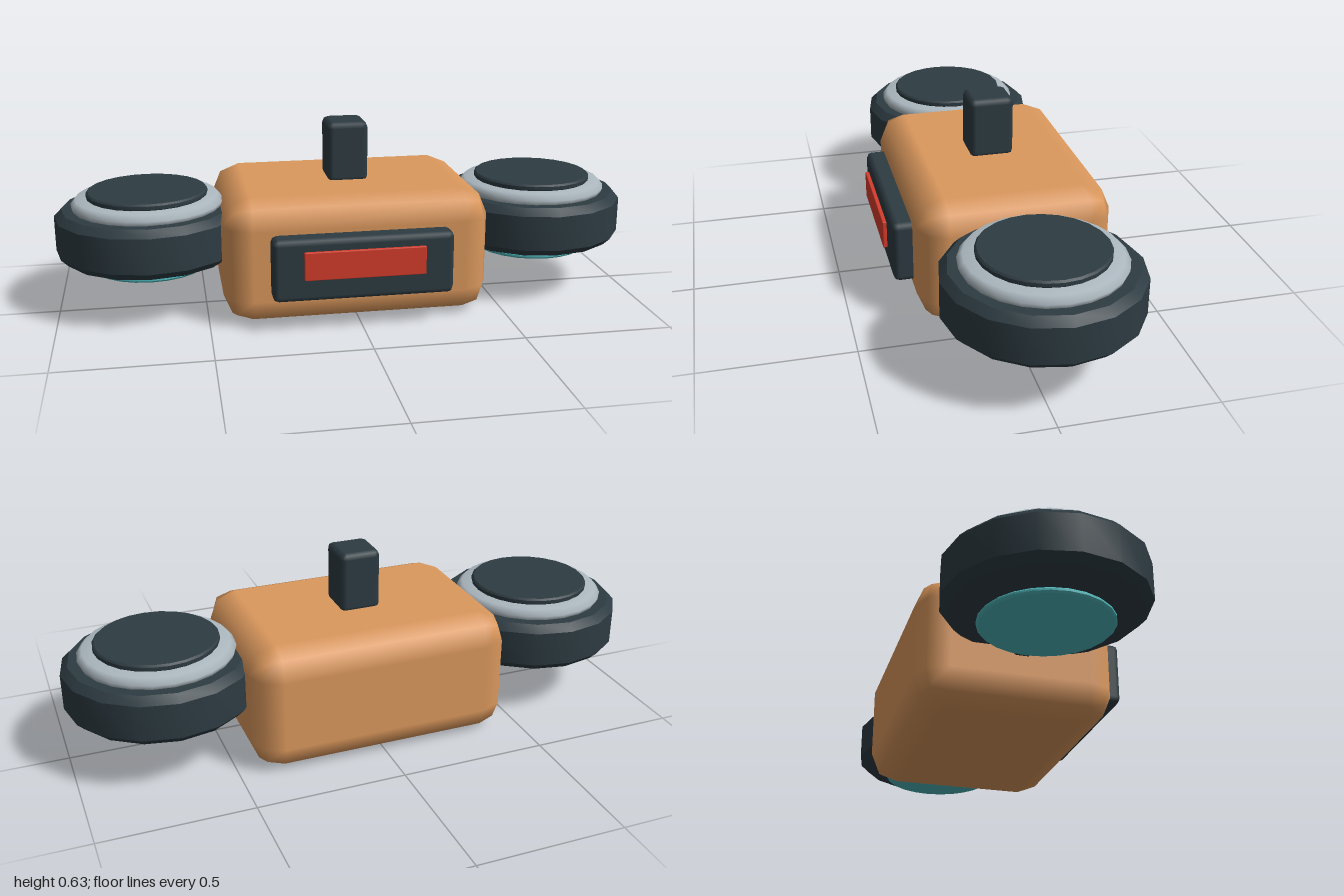
import * as THREE from 'three';
import { toCreasedNormals } from 'three/addons/utils/BufferGeometryUtils.js';
import { RoundedBoxGeometry } from 'three/addons/geometries/RoundedBoxGeometry.js';

const material = (name, color) => {
  const m = new THREE.MeshStandardMaterial({ color });
  m.name = name;
  return m;
};

export function createModel() {
  const model = new THREE.Group();
  model.name = 'model';
  const orange = material('warm orange', 0xdb985d);
  const dark = material('dark slate', 0x2d3b42);
  const grey = material('light grey', 0xacb8bf);
  const red = material('red', 0xd63c2c);
  const teal = material('teal', 0x4fb8bc);

  const add = (parent, name, geometry, mat, x = 0, y = 0, z = 0) => {
    const mesh = new THREE.Mesh(geometry, mat);
    mesh.name = name;
    mesh.position.set(x, y, z);
    parent.add(mesh);
    return mesh;
  };

  // Rounded box given by its lower and upper limits
  const block = (name, mat, lo, hi, radius) => {
    const [w, h, d] = hi.map((v, i) => v - lo[i]);
    const [x, y, z] = hi.map((v, i) => (v + lo[i]) / 2);
    return add(model, name, new RoundedBoxGeometry(w, h, d, 1, radius), mat, x, y, z);
  };

  // Bevelled disc turned around the vertical axis
  const disc = (radius, y0, y1, bevel, sides) => {
    const points = [
      [0, y0], [radius - bevel, y0], [radius, y0 + bevel],
      [radius, y1 - bevel], [radius - bevel, y1], [0, y1],
    ].map(([r, y]) => new THREE.Vector2(r, y));
    return toCreasedNormals(new THREE.LatheGeometry(points, sides), 0.5);
  };

  // Body, top post and front panel
  block('body', orange, [-0.45, 0, -0.363], [0.45, 0.43, 0.283], 0.095);
  block('topPost', dark, [-0.07, 0.42, -0.115], [0.07, 0.63, 0.035], 0.02);
  block('frontPanel', dark, [-0.3, 0.11, 0.26], [0.3, 0.322, 0.347], 0.02);
  block('panelLight', red, [-0.2, 0.19, 0.351], [0.2, 0.285, 0.365], 0.003);

  // One pod on each side
  for (const side of [1, -1]) {
    const pod = new THREE.Group();
    pod.name = side > 0 ? 'leftPod' : 'rightPod';
    pod.position.set(side * 0.686, 0, -0.04);
    model.add(pod);
    add(pod, 'housing', disc(0.3145, 0.185, 0.355, 0.025, 16), dark);
    const ringProfile = [[0.18, 0.35], [0.25, 0.35], [0.2575, 0.37], [0.24, 0.39], [0.18, 0.392]]
      .map(([r, y]) => new THREE.Vector2(r, y));
    add(pod, 'rimRing', new THREE.LatheGeometry(ringProfile, 24), grey);
    add(pod, 'topCap', disc(0.205, 0.388, 0.412, 0.006, 24), dark);
    add(pod, 'glowDisc', disc(0.205, 0.143, 0.161, 0.006, 24), teal);

    // Arm rising from the body into the housing
    const from = new THREE.Vector3(-side * 0.29, 0.215, 0);
    const to = new THREE.Vector3(0, 0.25, 0);
    const along = to.clone().sub(from);
    const arm = add(pod, 'arm', new THREE.CylinderGeometry(0.065, 0.065, along.length(), 10), dark);
    arm.position.copy(from).add(to).multiplyScalar(0.5);
    arm.quaternion.setFromUnitVectors(new THREE.Vector3(0, 1, 0), along.normalize());
  }

  return model;
}
